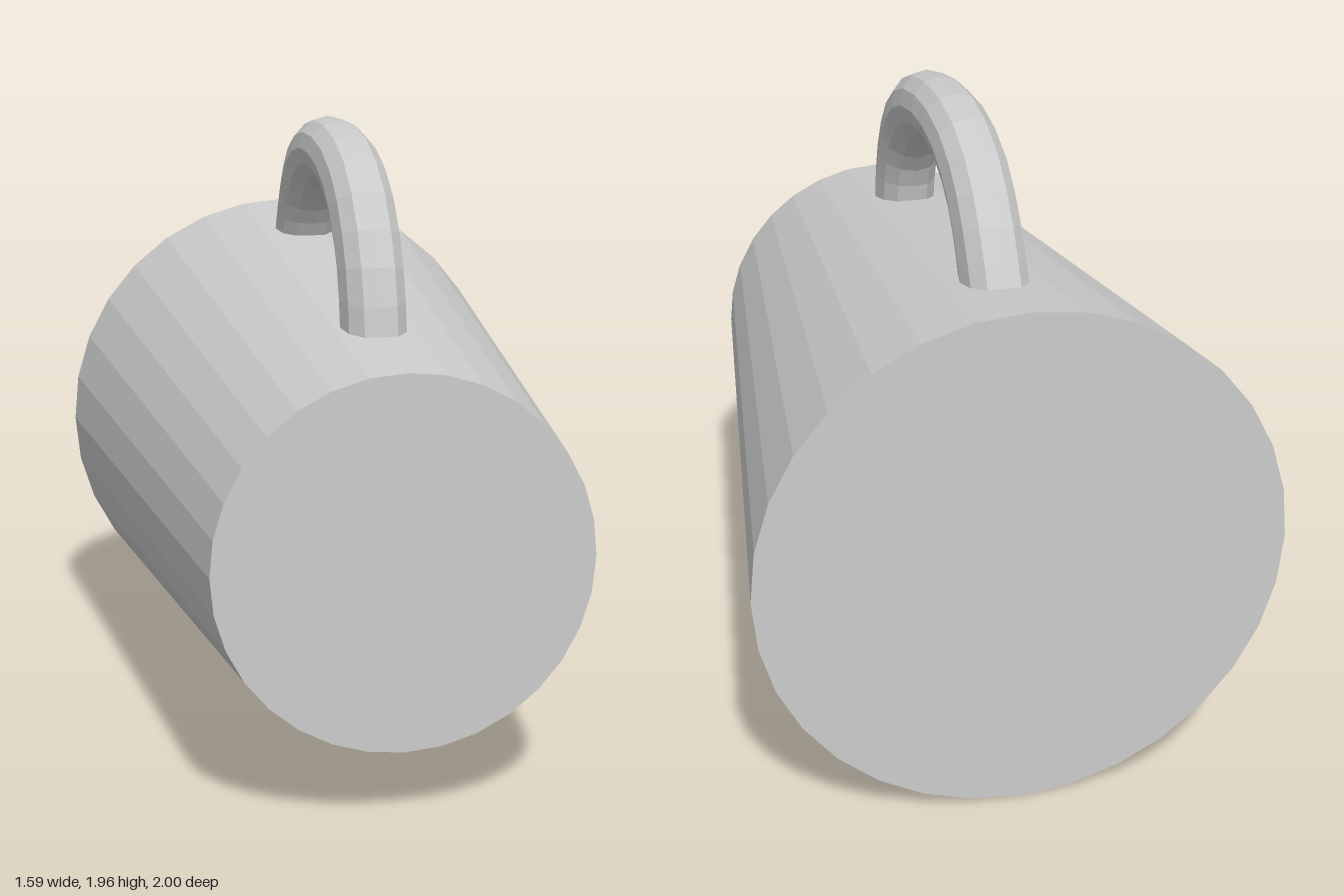
import * as THREE from 'three';

const material = () => new THREE.MeshStandardMaterial({ color: 0xcccccc, flatShading: true });

// Smooth curve in the x = 0 plane through [z, y] pairs
const sideCurve = (pairs) =>
  new THREE.CatmullRomCurve3(pairs.map(([z, y]) => new THREE.Vector3(0, y, z)));

// Tube of oval rings spanning the gap between an outer and an inner outline
function buildHandle(outer, inner, halfWidth, steps, sides) {
  const positions = [];
  const index = [];
  for (let i = 0; i <= steps; i++) {
    const o = outer.getPoint(i / steps);
    const n = inner.getPoint(i / steps);
    const centre = o.clone().add(n).multiplyScalar(0.5);
    const reach = o.clone().sub(n).multiplyScalar(0.5);
    for (let j = 0; j < sides; j++) {
      const a = (j / sides) * Math.PI * 2;
      const p = centre.clone().addScaledVector(reach, Math.cos(a));
      positions.push(p.x + halfWidth * Math.sin(a), p.y, p.z);
      if (i < steps) {
        const k = i * sides + j;
        const kj = i * sides + ((j + 1) % sides);
        index.push(k, kj, k + sides, kj, kj + sides, k + sides);
      }
    }
  }
  const geometry = new THREE.BufferGeometry();
  geometry.setAttribute('position', new THREE.Float32BufferAttribute(positions, 3));
  geometry.setIndex(index);
  geometry.computeVertexNormals();
  return geometry;
}

export function createModel() {
  const group = new THREE.Group();
  group.name = 'mug';

  // Tapered body lying along z, closed at both ends
  const bodyGeometry = new THREE.CylinderGeometry(0.558, 0.795, 2, 32);
  bodyGeometry.rotateX(Math.PI / 2);
  const body = new THREE.Mesh(bodyGeometry, material());
  body.name = 'body';
  body.position.y = 0.797;
  group.add(body);

  // Arched handle, with both ends sunk into the body
  const outer = sideCurve([
    [0.7, 1.28], [0.68, 1.39], [0.65, 1.53], [0.59, 1.66], [0.485, 1.79], [0.33, 1.89], [0.14, 1.945],
    [-0.1, 1.965], [-0.31, 1.94], [-0.485, 1.87], [-0.605, 1.77], [-0.69, 1.66], [-0.757, 1.556], [-0.8, 1.47],
  ]);
  const inner = sideCurve([
    [0.41, 1.3], [0.4, 1.42], [0.377, 1.51], [0.335, 1.58], [0.265, 1.655], [0.17, 1.715], [0.045, 1.755],
    [-0.09, 1.765], [-0.205, 1.75], [-0.31, 1.705], [-0.385, 1.65], [-0.43, 1.595], [-0.47, 1.53], [-0.5, 1.44],
  ]);
  const handle = new THREE.Mesh(buildHandle(outer, inner, 0.1, 16, 12), material());
  handle.name = 'handle';
  group.add(handle);

  return group;
}
